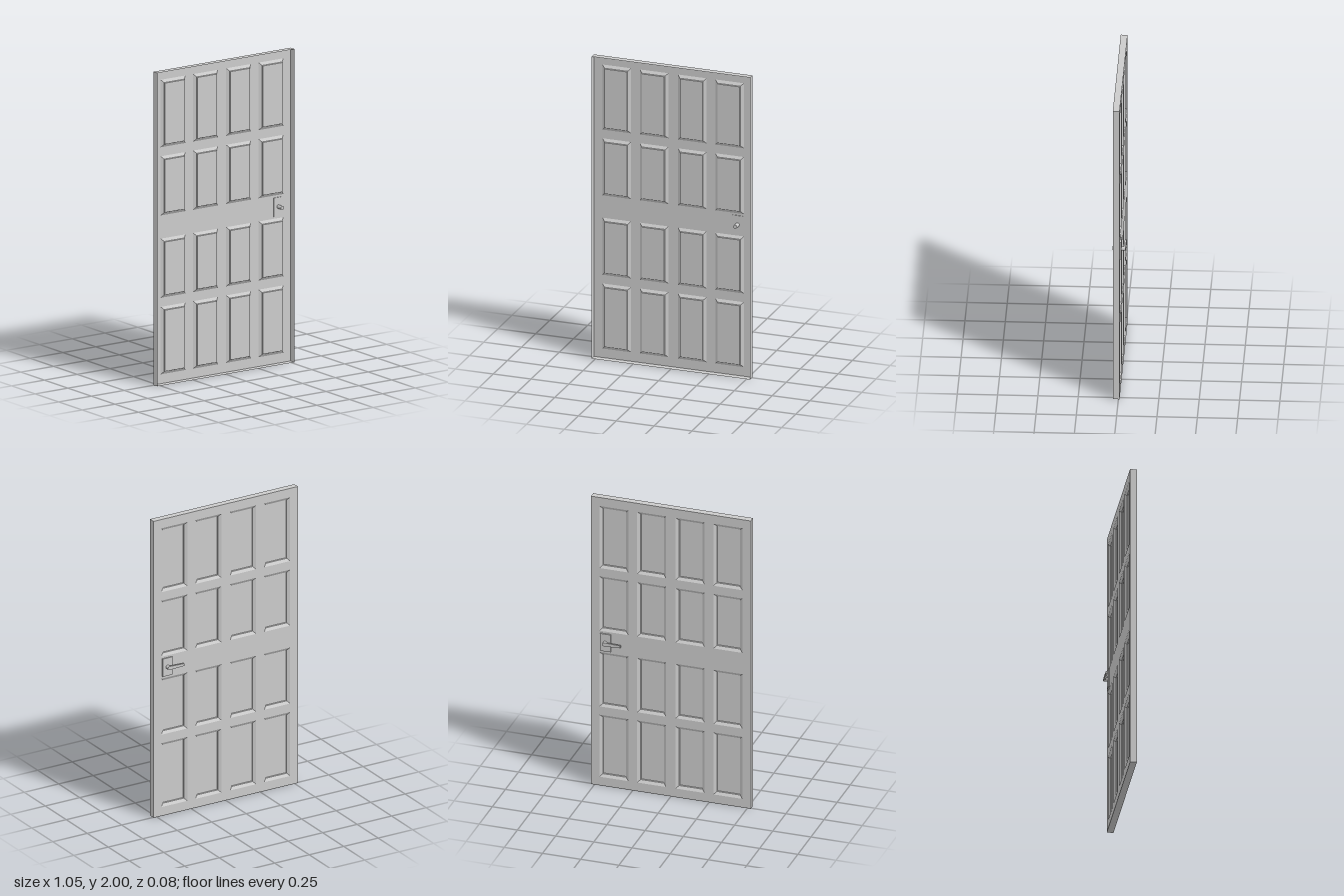
import * as THREE from 'three';

const material = new THREE.MeshStandardMaterial({ color: 0xcccccc, flatShading: true, side: THREE.DoubleSide });
const HALF_W = 0.523, HEIGHT = 2, BACK = -0.007, FRONT = 0.035;

function addMesh(group, name, geometry, x = 0, y = 0, z = 0) {
  const mesh = new THREE.Mesh(geometry, material);
  mesh.name = name;
  mesh.position.set(x, y, z);
  group.add(mesh);
  return mesh;
}

// Surface through successive rectangles { w, h, z }, facing the back; optionally closed at the last one
function rectLoft(rects, cap) {
  const loops = rects.map(({ w, h, z }) =>
    [[-1, -1], [1, -1], [1, 1], [-1, 1]].map(([sx, sy]) => [sx * w / 2, sy * h / 2, z]));
  const pos = [];
  const quad = (a, b, c, d) => pos.push(...a, ...b, ...c, ...a, ...c, ...d);
  for (let i = 0; i < loops.length - 1; i++) {
    for (let k = 0; k < 4; k++) {
      const n = (k + 1) % 4;
      quad(loops[i][k], loops[i + 1][k], loops[i + 1][n], loops[i][n]);
    }
  }
  if (cap) {
    const l = loops[loops.length - 1];
    quad(l[0], l[3], l[2], l[1]);
  }
  const geometry = new THREE.BufferGeometry();
  geometry.setAttribute('position', new THREE.Float32BufferAttribute(pos, 3));
  geometry.computeVertexNormals();
  return geometry;
}

function rectPath(path, x, y, w, h) {
  path.moveTo(x - w / 2, y - h / 2);
  path.lineTo(x + w / 2, y - h / 2);
  path.lineTo(x + w / 2, y + h / 2);
  path.lineTo(x - w / 2, y + h / 2);
  path.closePath();
  return path;
}

export function createModel() {
  const door = new THREE.Group();
  door.name = 'door';

  // Panel grid: four columns by four rows
  const bevel = 0.018, step = 0.005, fieldW = 0.153;
  const columns = [-0.373, -0.126, 0.126, 0.373];
  const rows = [
    { y: 0.275, h: 0.395 }, { y: 0.737, h: 0.342 },
    { y: 1.263, h: 0.342 }, { y: 1.725, h: 0.395 },
  ];

  // Back sheet with an opening for every panel
  const sheet = rectPath(new THREE.Shape(), 0, HEIGHT / 2, HALF_W * 2, HEIGHT);
  const panels = new THREE.Group();
  panels.name = 'panels';
  for (const { y, h } of rows) {
    // Sloped moulding, small step and flat field
    const panel = rectLoft([
      { w: fieldW + 2 * bevel, h: h + 2 * bevel, z: BACK },
      { w: fieldW, h, z: BACK + 0.012 },
      { w: fieldW - step, h: h - step, z: BACK + 0.019 },
    ], true);
    for (const x of columns) {
      sheet.holes.push(rectPath(new THREE.Path(), x, y, fieldW + 2 * bevel, h + 2 * bevel));
      addMesh(panels, 'panel', panel, x, y);
    }
  }
  addMesh(door, 'backSheet', new THREE.ShapeGeometry(sheet).rotateY(Math.PI), 0, 0, BACK);
  door.add(panels);

  // Rim around the sheet, open at the front
  addMesh(door, 'rim', rectLoft([
    { w: HALF_W * 2, h: HEIGHT, z: FRONT },
    { w: HALF_W * 2, h: HEIGHT, z: BACK },
  ], false), 0, HEIGHT / 2);

  // Handle: plate, spindle through the door and tapered lever on the back
  const handle = new THREE.Group();
  handle.name = 'handle';
  handle.position.set(0.427, 1, 0);
  door.add(handle);
  addMesh(handle, 'plate', new THREE.BoxGeometry(0.07, 0.12, 0.0125), 0, 0, -0.00925);
  addMesh(handle, 'spindle', new THREE.CylinderGeometry(0.0125, 0.0125, 0.082, 16).rotateX(Math.PI / 2));
  const lever = new THREE.Shape();
  lever.moveTo(0, -0.0122);
  lever.lineTo(0, 0.0122);
  lever.lineTo(-0.107, 0.008);
  lever.lineTo(-0.107, -0.008);
  lever.closePath();
  addMesh(handle, 'lever', new THREE.ExtrudeGeometry(lever, { depth: 0.0105, bevelEnabled: false }), 0, 0, -0.0408);

  return door;
}
